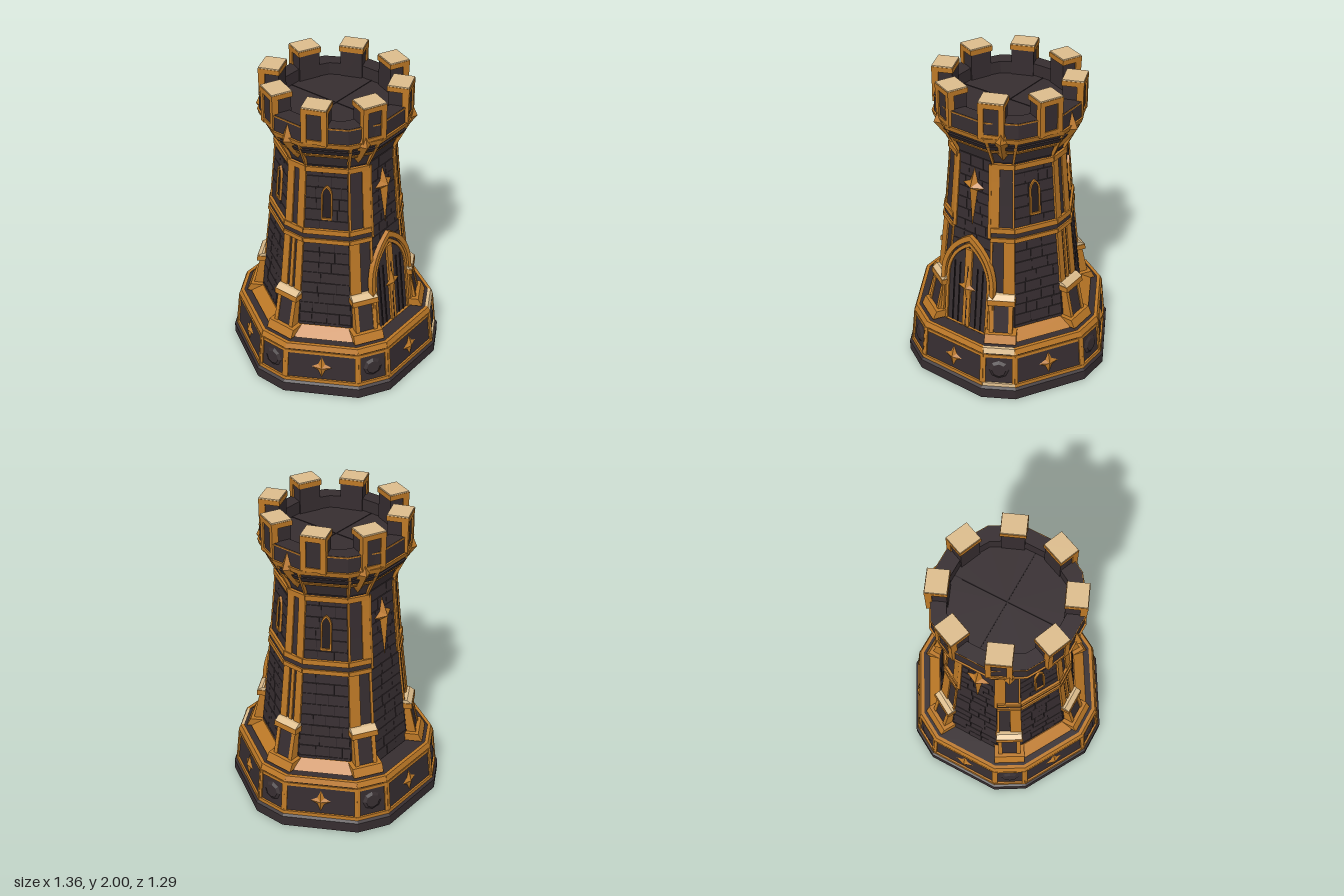
import * as THREE from 'three';
import { mergeGeometries } from 'three/addons/utils/BufferGeometryUtils.js';

const mat = (name, color) => Object.assign(new THREE.MeshStandardMaterial({ color, flatShading: true }), { name });

// Tower outline: height, radius to the six corner faces, half width of a corner face
const PROFILE = [
  [0, .68, .11], [.07, .68, .11], [.085, .655, .105], [.33, .63, .1], [.361, .615, .1],
  [.3611, .48, .083], [.5, .465, .08], [.66, .447, .078], [1.03, .405, .072], [1.52, .36, .065],
  [1.56, .36, .068], [1.62, .375, .075], [1.72, .44, .095], [1.76, .455, .1], [1.87, .45, .1],
];

function section(y) {
  let i = 1;
  while (i < PROFILE.length - 1 && PROFILE[i][0] < y) i++;
  const p = PROFILE[i - 1], q = PROFILE[i];
  const t = THREE.MathUtils.clamp((y - p[0]) / (q[0] - p[0]), 0, 1);
  return [p[1] + (q[1] - p[1]) * t, p[2] + (q[2] - p[2]) * t];
}

// Lays a geometry (x along the face, y height, z outward) on side i of the tower.
// Even sides are the wide faces, odd sides the narrow corners.
function wrap(geo, i, fraction = false) {
  const g = geo.index ? geo.toNonIndexed() : geo.clone();
  const pos = g.attributes.position;
  for (let k = 0; k < pos.count; k++) {
    const y = pos.getY(k), [c, w] = section(y);
    const half = i % 2 ? w : .5 * c - .866 * w;
    const r = i % 2 ? c : .866 * c + .5 * w;
    pos.setXYZ(k, pos.getX(k) * (fraction ? half : 1), y, pos.getZ(k) + r);
  }
  g.deleteAttribute('uv');
  g.rotateY(i * Math.PI / 6);
  g.computeVertexNormals();
  return g;
}

// Block on a face; its outer side can lean from o1 at the foot to oTop at the head
function slab(u0, u1, y0, y1, o0, o1, oTop = o1) {
  const segs = y1 - y0 > .2 ? 4 : 1;
  const g = new THREE.BoxGeometry(u1 - u0, y1 - y0, 1, 1, segs, 1).translate((u0 + u1) / 2, (y0 + y1) / 2, .5);
  const pos = g.attributes.position;
  for (let k = 0; k < pos.count; k++) {
    const t = (pos.getY(k) - y0) / (y1 - y0);
    pos.setZ(k, pos.getZ(k) > .5 ? o1 + (oTop - o1) * t : o0);
  }
  return g;
}

// Skin through twelve-sided rings
function loft(rings) {
  const pts = rings.map(([y, c, w]) => {
    const ring = [];
    for (let k = 0; k < 6; k++) for (const s of [-1, 1])
      ring.push(new THREE.Vector3(s * w, y, c).applyAxisAngle(new THREE.Vector3(0, 1, 0), (k + .5) * Math.PI / 3));
    return ring;
  });
  const out = [];
  for (let i = 0; i < pts.length - 1; i++) for (let j = 0; j < 12; j++) {
    const n = (j + 1) % 12, a = pts[i][j], b = pts[i][n], c = pts[i + 1][n], d = pts[i + 1][j];
    for (const p of [a, b, c, a, c, d]) out.push(p.x, p.y, p.z);
  }
  const g = new THREE.BufferGeometry();
  g.setAttribute('position', new THREE.Float32BufferAttribute(out, 3));
  g.computeVertexNormals();
  return g;
}

// Raised four-pointed star
function star(y, wide, up, down, depth, base) {
  const n = wide * .35;
  const rim = [[wide, 0], [n, n], [0, up], [-n, n], [-wide, 0], [-n, -n], [0, -down], [n, -n]];
  const out = [];
  rim.forEach((p, k) => {
    const q = rim[(k + 1) % 8];
    out.push(0, y, base + depth, p[0], y + p[1], base, q[0], y + q[1], base);
  });
  const g = new THREE.BufferGeometry();
  g.setAttribute('position', new THREE.Float32BufferAttribute(out, 3));
  return g;
}

function pointedArch(path, half, y0, spring, apex) {
  path.moveTo(-half, y0);
  path.lineTo(half, y0);
  path.lineTo(half, spring);
  path.quadraticCurveTo(half * .92, spring + (apex - spring) * .65, 0, apex);
  path.quadraticCurveTo(-half * .92, spring + (apex - spring) * .65, -half, spring);
  path.closePath();
  return path;
}

function archFrame(half, y0, spring, apex, t, sill, depth) {
  const shape = pointedArch(new THREE.Shape(), half, y0, spring, apex);
  shape.holes.push(pointedArch(new THREE.Path(), half - t, y0 + sill, spring, apex - t * 1.3));
  return new THREE.ExtrudeGeometry(shape, { depth, bevelEnabled: false, curveSegments: 8 });
}

const archPanel = (half, y0, spring, apex, depth) => new THREE.ExtrudeGeometry(
  pointedArch(new THREE.Shape(), half, y0, spring, apex), { depth, bevelEnabled: false, curveSegments: 8 });

export function createModel() {
  const stone = mat('dark stone', 0x362d30), mortar = mat('mortar', 0x241d20);
  const gold = mat('gold', 0xbc7826), pale = mat('pale gold', 0xdcbc8c);
  const root = new THREE.Group();
  root.name = 'castleTower';
  const add = (name, geos, material) => {
    const mesh = new THREE.Mesh(mergeGeometries(geos), material);
    mesh.name = name;
    root.add(mesh);
  };
  const sides = [...Array(12).keys()], faces = sides.filter(i => i % 2 === 0), corners = sides.filter(i => i % 2);
  const flanks = [2, 4, 8, 10], ends = [0, 6];
  const belt = (list, y0, y1, out) => list.map(i => wrap(slab(-1.03, 1.03, y0, y1, -.012, out), i, true));
  let seed = 7;
  const random = () => (seed = (seed * 16807) % 2147483647) / 2147483647;

  // Main masses
  add('plinth', [loft([[0, 0, 0], ...PROFILE.slice(0, 4), [.353, .615, .1], [.353, .45, .08]])], stone);
  add('wallCore', [loft([[.34, .48, .083], ...PROFILE.slice(5, 11)])], mortar);
  add('parapet', [loft([...PROFILE.slice(10), [1.87, .35, .094], [1.79, .35, .094], [1.79, 0, 0]])], stone);
  const joint = new THREE.BoxGeometry(.7, .004, .006).translate(0, 1.791, 0);
  add('floorJoints', [joint, joint.clone().rotateY(Math.PI / 2)], mortar);

  // Stone courses on the wide faces
  const bricks = [];
  for (const i of faces) for (const [y0, y1, rows] of [[.362, 1.03, 9], [1.03, 1.56, 7]]) {
    const h = (y1 - y0) / rows;
    for (let r = 0; r < rows; r++) {
      let u = -1;
      while (u < .98) {
        let v = u + .45 + random() * .35;
        if (v > .75) v = 1;
        bricks.push(wrap(slab(u, v - .02, y0 + r * h, y0 + (r + 1) * h - .004, -.01, .004 + random() * .003), i, true));
        u = v;
      }
    }
  }
  add('stoneCourses', bricks, stone);
  add('cornerStones', corners.map(i => wrap(slab(-1, 1, .42, 1.55, -.01, .005), i, true)), stone);

  // Plinth rails (one worn corner is pale), posts, stars and bosses
  const plain = sides.filter(i => i !== 1);
  add('plinthRails', [...belt(plain, .085, .108, .012), ...belt(plain, .325, .36, .01), ...belt(sides, .295, .315, .007)], gold);
  add('wornPlinthRails', [...belt([1], .085, .108, .012), ...belt([1], .325, .36, .01)], pale);
  add('plinthPosts', sides.flatMap(i => [-1, 1].map(s => {
    const e = i % 2 ? .82 : .93;
    return wrap(slab(s > 0 ? e : -1.03, s > 0 ? 1.03 : -e, .1, .32, -.01, .01), i, true);
  })), gold);
  add('plinthStars', faces.map(i => wrap(star(.2, .065, .075, .075, .02, .001), i)), gold);
  add('plinthBosses', corners.map(i => wrap(new THREE.CylinderGeometry(.045, .065, .012, 8)
    .rotateX(Math.PI / 2).translate(0, .205, .005), i)), stone);

  // Gold edging up the corners: twin strips on the outer corners; the others carry
  // a strip beside the panel above the belt and a strip on the far edge below it
  const edging = [];
  const strip = (i, a, b, y0, y1) => edging.push(wrap(slab(a, b, y0, y1, -.01, .014), i, true));
  for (const i of corners) {
    const twin = i === 3 || i === 9, inner = i === 1 || i === 7 ? -1 : 1;
    for (const s of [-1, 1]) {
      const upper = twin ? .28 : s === inner ? .3 : .85;
      const lower = twin ? .38 : s === inner ? .82 : .1;
      strip(i, s > 0 ? upper : -1.04, s > 0 ? 1.04 : -upper, 1.11, 1.54);
      strip(i, s > 0 ? lower : -1.04, s > 0 ? 1.04 : -lower, .64, 1.04);
    }
    if (twin) strip(i, -.16, .16, .64, 1.04);
  }
  for (const i of ends) for (const s of [-1, 1]) strip(i, s * .96 - .08, s * .96 + .08, 1.04, 1.54);
  add('cornerEdging', edging, gold);
  add('wallFooting', flanks.map(i => wrap(slab(-1.1, 1.1, .3615, .415, -.01, .075, .01), i, true)), gold);

  // Belts, interrupted by the front and back panels
  const ring = [...corners, ...flanks];
  add('middleBelt', [...belt(ring, 1.025, 1.053, .022), ...belt(ring, 1.087, 1.12, .022)], gold);
  add('middleBeltStone', belt(ring, 1.05, 1.09, .012), stone);
  add('upperBelt', belt(ring, 1.515, 1.55, .02), gold);

  // Corner buttresses
  add('buttressBases', corners.map(i => wrap(slab(-.1, .1, .3615, .415, -.02, .105, .085), i)), gold);
  add('buttressShafts', corners.map(i => wrap(slab(-.06, .06, .415, .605, -.02, .06, .038), i)), stone);
  add('buttressEdges', corners.flatMap(i => [-1, 1].map(s =>
    wrap(slab(s * .06 - .013, s * .06 + .013, .415, .605, -.02, .066, .044), i))), gold);
  add('buttressCaps', corners.map(i => wrap(slab(-.088, .088, .605, .642, -.02, .06), i)), gold);
  add('buttressCapTops', corners.map(i => wrap(slab(-.084, .084, .642, .664, -.02, .058, .03), i)), pale);

  // Door
  add('doorLeaf', [wrap(archPanel(.16, .362, .7, .93, .016), 0)], stone);
  add('doorFrame', [wrap(archFrame(.205, .362, .72, 1.02, .03, .001, .034), 0),
    wrap(archFrame(.168, .362, .71, .965, .02, .001, .026), 0)], gold);
  add('doorTrim', [wrap(slab(-.026, .026, .365, .92, 0, .03), 0),
    wrap(star(.65, .07, .09, .09, .02, .03), 0)], gold);
  add('doorPlankJoints', [-.11, -.068, 0, .068, .11].map(u =>
    wrap(slab(u - .003, u + .003, .365, .8, 0, u ? .023 : .032), 0)), mortar);

  // Windows and large wall stars
  add('windowPanes', flanks.map(i => wrap(archPanel(.026, 1.2, 1.35, 1.41, .01), i)), mortar);
  add('windowFrames', flanks.map(i => wrap(archFrame(.034, 1.19, 1.36, 1.425, .01, .013, .02), i)), gold);
  add('wallStars', ends.map(i => wrap(star(1.36, .08, .115, .28, .04, .008), i)), gold);

  // Flared crown: rails and pointed corner brackets
  add('crownRails', [...belt(sides, 1.635, 1.655, .012), ...belt(sides, 1.735, 1.768, .012)], gold);
  add('crownStep', belt(sides, 1.67, 1.705, .014), stone);
  add('crownLip', belt(sides, 1.86, 1.868, .004), gold);
  const spike = new THREE.LatheGeometry(
    [[0, 1.57], [.032, 1.62], [.046, 1.745], [0, 1.85]].map(p => new THREE.Vector2(...p)), 4);
  add('crownBrackets', corners.map(i => wrap(spike, i)), gold);
  add('crownBracketArms', corners.flatMap(i => [-1, 1].map(s =>
    wrap(slab(s * .9 - .1, s * .9 + .1, 1.55, 1.74, -.01, .012), i, true))), gold);

  // Eight merlons with gold frames and pale tops
  const block = (w, y0, y1, r0, r1, u = 0) =>
    new THREE.BoxGeometry(w, y1 - y0, r1 - r0).translate(u, (y0 + y1) / 2, (r0 + r1) / 2);
  const crown = (name, parts, material) => add(name, parts.flatMap(p =>
    sides.slice(0, 8).map(k => p.clone().rotateY((k + .5) * Math.PI / 4))), material);
  crown('merlons', [block(.14, 1.77, 1.965, .338, .457)], stone);
  crown('merlonFrames', [block(.156, 1.96, 1.992, .332, .468), block(.034, 1.76, 1.965, .425, .466, .061),
    block(.034, 1.76, 1.965, .425, .466, -.061), block(.14, 1.765, 1.79, .43, .465)], gold);
  crown('merlonTops', [block(.152, 1.992, 2, .335, .465)], pale);
  return root;
}
